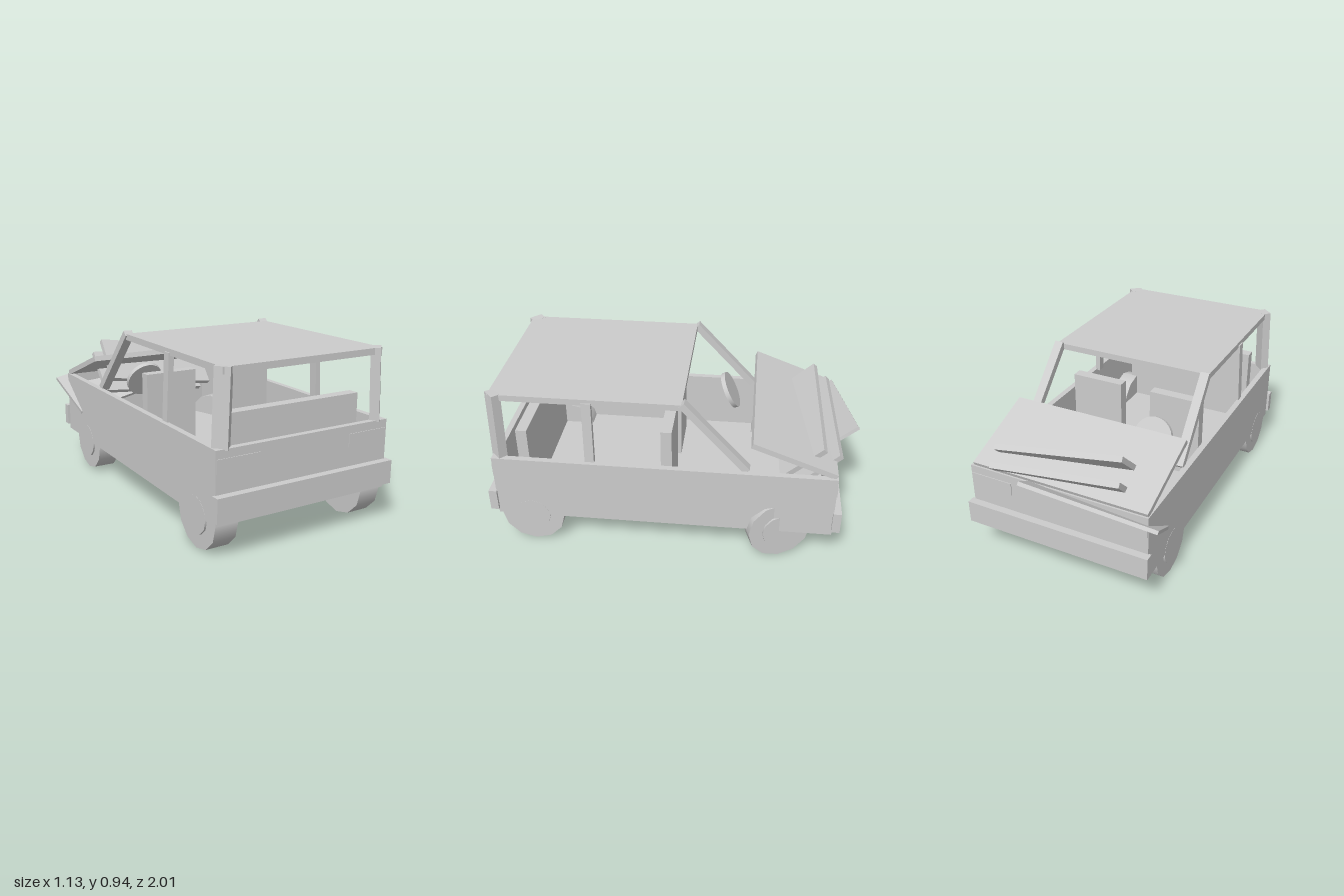
import * as THREE from 'three';

const CX = 0.005; // centre line of the car

export function createModel() {
  const car = new THREE.Group();
  car.name = 'wreckedCar';
  const grey = new THREE.MeshStandardMaterial({ color: 0xcccccc });
  grey.name = 'plain grey';

  const add = (name, geometry, x = 0, y = 0, z = 0) => {
    const mesh = new THREE.Mesh(geometry, grey);
    mesh.name = name;
    mesh.position.set(x, y, z);
    car.add(mesh);
    return mesh;
  };

  // Box given by its limits on each axis
  const block = (name, x0, x1, y0, y1, z0, z1) =>
    add(name, new THREE.BoxGeometry(x1 - x0, y1 - y0, z1 - z0),
      (x0 + x1) / 2, (y0 + y1) / 2, (z0 + z1) / 2);

  // Straight post between two points, optionally twisted around its length
  const post = (name, a, b, w, d, twist = 0) => {
    const from = new THREE.Vector3(...a), to = new THREE.Vector3(...b);
    const dir = to.clone().sub(from);
    const geometry = new THREE.BoxGeometry(w, dir.length(), d).rotateY(twist);
    const mesh = add(name, geometry);
    mesh.position.copy(from).add(to).multiplyScalar(0.5);
    mesh.quaternion.setFromUnitVectors(new THREE.Vector3(0, 1, 0), dir.normalize());
    return mesh;
  };

  // Flat panel: "along" is its long direction, "across" its short one
  const panel = (name, centre, along, across, length, thick, depth) => {
    const u = new THREE.Vector3(...along).normalize();
    const v = new THREE.Vector3(...across);
    const n = v.cross(u).normalize();
    const w = u.clone().cross(n);
    const mesh = add(name, new THREE.BoxGeometry(length, thick, depth), ...centre);
    mesh.quaternion.setFromRotationMatrix(new THREE.Matrix4().makeBasis(u, n, w));
    return mesh;
  };

  // Open body tub
  block('floor', -0.505, 0.515, 0.18, 0.22, -0.875, 0.96);
  block('rightBodySide', -0.505, -0.472, 0.18, 0.548, -0.875, 0.96);
  block('leftBodySide', 0.482, 0.515, 0.18, 0.548, -0.875, 0.96);
  block('tailPanel', -0.473, 0.483, 0.18, 0.548, 0.927, 0.96);
  block('nosePanel', -0.473, 0.483, 0.18, 0.548, -0.875, -0.842);

  // Bumpers and lamps at both ends
  block('rearBumper', -0.52, 0.53, 0.21, 0.335, 0.955, 1.0);
  block('frontBumper', -0.52, 0.53, 0.21, 0.335, -0.915, -0.87);
  for (const s of [-1, 1]) {
    const x = CX + s * 0.385;
    block('tailLamp', x - 0.12, x + 0.12, 0.435, 0.505, 0.955, 0.964);
    block('headLamp', x - 0.12, x + 0.12, 0.435, 0.505, -0.879, -0.87);
  }

  // Roof and pillars
  block('roof', CX - 0.465, CX + 0.465, 0.886, 0.92, -0.06, 0.945);
  for (const s of [-1, 1]) {
    post('windscreenPillar', [CX + s * 0.458, 0.545, -0.405], [CX + s * 0.448, 0.922, -0.058], 0.05, 0.038);
    post('middlePillar', [CX + s * 0.473, 0.54, 0.43], [CX + s * 0.458, 0.9, 0.43], 0.03, 0.05);
    post('rearPillar', [CX + s * 0.462, 0.54, 0.924], [CX + s * 0.447, 0.921, 0.92], 0.078, 0.05, s * Math.PI / 4);
  }

  // Seats and steering wheel
  block('rightFrontSeat', -0.395, -0.09, 0.215, 0.705, 0.0, 0.06);
  block('leftFrontSeat', 0.095, 0.405, 0.215, 0.705, 0.0, 0.06);
  block('rearSeat', -0.41, 0.42, 0.215, 0.672, 0.78, 0.84);
  add('steeringWheel', new THREE.CylinderGeometry(0.11, 0.11, 0.025, 24), -0.245, 0.6, -0.28)
    .rotation.x = -1.1;

  // Sprung bonnet, with buckled strips standing out of it
  panel('bonnet', [0, 0.637, -0.645], [1, 0, 0], [0, -0.165, 0.44].map((v, i) => (i === 1 ? 0.165 : v)),
    1.0, 0.03, 0.475);
  panel('upperBuckledStrip', [0.035, 0.6, -0.68], [0.72, -0.11, -0.035], [0, -0.7, 0.7], 0.73, 0.03, 0.3);
  panel('lowerBuckledStrip', [0.015, 0.527, -0.765], [0.72, -0.07, -0.045], [0, -0.7, 0.7], 0.72, 0.03, 0.3);
  panel('tornWing', [-0.188, 0.483, -0.825], [0.7, 0.115, -0.09], [0.17, -0.55, 0.82], 0.72, 0.02, 0.32);

  // Wheels: the left front one is knocked out of line
  const wheel = (name, side, z, yaw = 0) => {
    const group = new THREE.Group();
    group.name = name;
    const tyre = new THREE.Mesh(new THREE.CylinderGeometry(0.176, 0.176, 0.125, 12).rotateZ(Math.PI / 2), grey);
    tyre.name = 'tyre';
    const hub = new THREE.Mesh(new THREE.CylinderGeometry(0.1, 0.1, 0.02, 12).rotateZ(Math.PI / 2), grey);
    hub.name = 'hub';
    hub.position.x = side * 0.063;
    group.add(tyre, hub);
    group.position.set(CX + side * 0.438, 0.176, z);
    group.rotation.y = yaw;
    car.add(group);
  };
  wheel('rightRearWheel', -1, 0.77);
  wheel('leftRearWheel', 1, 0.77);
  wheel('rightFrontWheel', -1, -0.58);
  wheel('leftFrontWheel', 1, -0.58, 0.32);

  // Underside: axles, tunnel, gearbox and exhaust
  for (const z of [0.77, -0.58])
    block('axle', -0.375, 0.385, 0.1, 0.18, z - 0.04, z + 0.04);
  block('tunnel', -0.1, 0.11, 0.13, 0.19, -0.54, 0.73);
  block('sump', -0.09, 0.16, 0.12, 0.19, -0.74, -0.66);
  add('exhaustPipe', new THREE.CylinderGeometry(0.029, 0.029, 1.42, 16).rotateX(Math.PI / 2), 0.25, 0.145, -0.02);

  return car;
}
